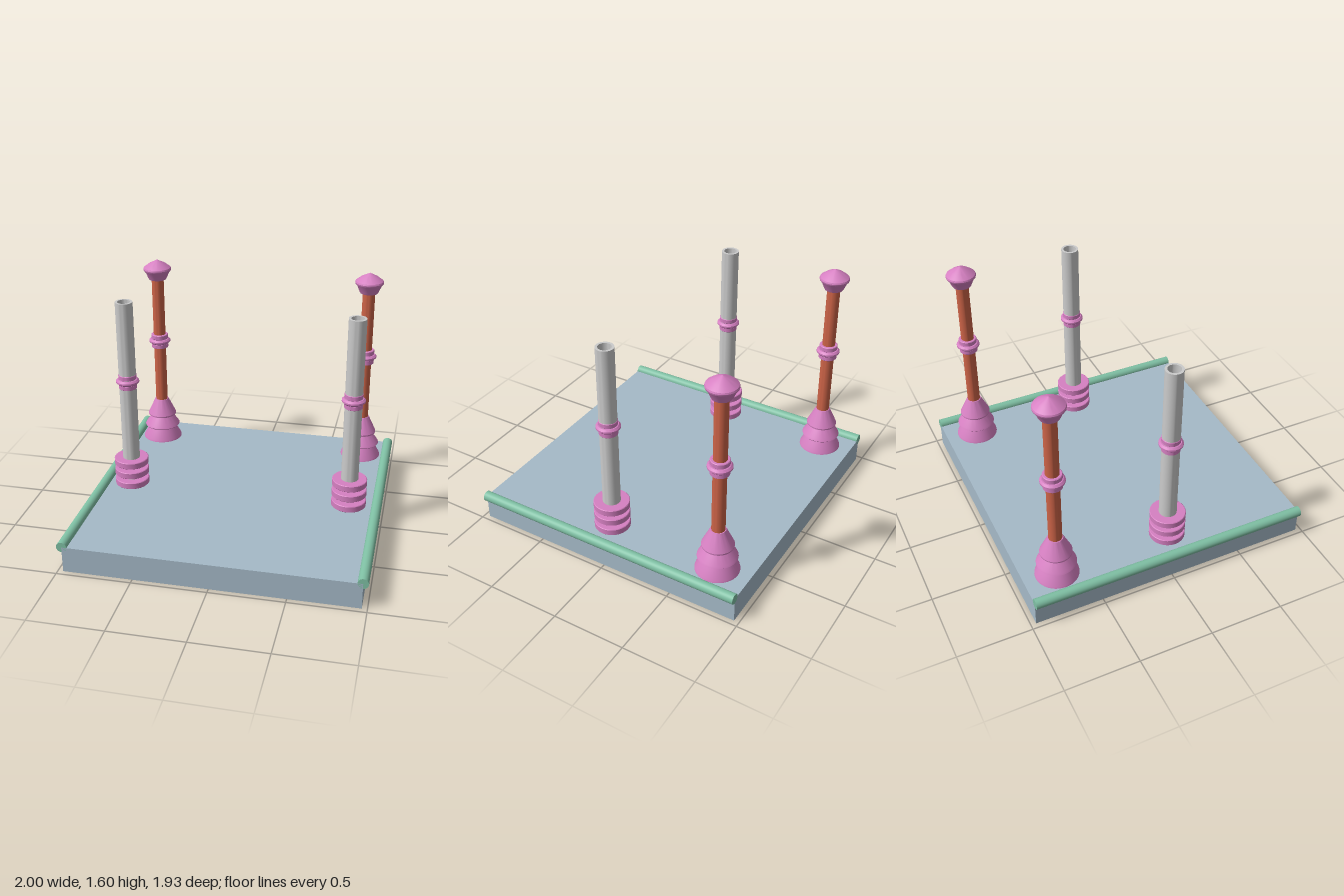
import * as THREE from 'three';
import { toCreasedNormals } from 'three/addons/utils/BufferGeometryUtils.js';

const mat = (color) => new THREE.MeshStandardMaterial({ color });
const slate = mat(0xa5bac8), green = mat(0x7fc0a4), pink = mat(0xd680c2);
const orange = mat(0xcc6347), grey = mat(0xcccccc);

// Turned part from [radius, height] pairs listed bottom to top on the outside
function turned(name, profile, material) {
  const points = profile.map(([r, y]) => new THREE.Vector2(r, y));
  const geometry = toCreasedNormals(new THREE.LatheGeometry(points, 40), 0.5);
  const mesh = new THREE.Mesh(geometry, material);
  mesh.name = name;
  return mesh;
}

// Solid disc with slightly softened rims
function disc(name, r, y0, y1, bevel = 0.004) {
  return turned(name, [
    [0, y0], [r - bevel, y0], [r, y0 + bevel],
    [r, y1 - bevel], [r - bevel, y1], [0, y1],
  ], pink);
}

// Three-ring collar halfway up a column
function collar(r) {
  const group = new THREE.Group();
  group.name = 'collar';
  group.add(
    disc('collarLowerRing', r, 0.92, 0.955),
    disc('collarMiddleRing', 0.079, 0.955, 0.99, 0.012),
    disc('collarUpperRing', r, 0.99, 1.025),
  );
  return group;
}

// Hollow pipe column standing in three stacked discs
function pipeColumn() {
  const group = new THREE.Group();
  group.name = 'pipeColumn';
  group.add(turned('pipe', [
    [0.059, 0.18], [0.059, 1.54], [0.043, 1.54], [0.043, 0.181], [0, 0.181],
  ], grey));
  // Discs and collar are pierced so the pipe stays open
  const ring = (name, r, y0, y1, b = 0.004) => turned(name, [
    [0.055, y0], [r - b, y0], [r, y0 + b], [r, y1 - b], [r - b, y1], [0.055, y1],
  ], pink);
  for (const y of [0.188, 0.268, 0.345]) group.add(ring('baseDisc', 0.119, y, y + 0.046));
  group.add(
    ring('collarLowerRing', 0.062, 0.92, 0.955),
    ring('collarMiddleRing', 0.079, 0.955, 0.99, 0.012),
    ring('collarUpperRing', 0.062, 0.99, 1.025),
  );
  return group;
}

// Slim post on three flared skirts with a pointed cap
function cappedPost() {
  const group = new THREE.Group();
  group.name = 'cappedPost';
  group.add(turned('shaft', [[0, 0.18], [0.044, 0.18], [0.044, 1.48], [0, 1.48]], orange));
  group.add(
    turned('lowerSkirt', [[0, 0.18], [0.145, 0.18], [0.142, 0.192], [0.09, 0.285], [0, 0.285]], pink),
    turned('middleSkirt', [[0, 0.275], [0.122, 0.275], [0.131, 0.284], [0.125, 0.296], [0.067, 0.375], [0, 0.375]], pink),
    turned('upperSkirt', [[0, 0.368], [0.104, 0.368], [0.105, 0.378], [0.05, 0.495], [0, 0.495]], pink),
  );
  group.add(collar(0.062));
  group.add(turned('cap', [
    [0, 1.452], [0.062, 1.452], [0.068, 1.462], [0.085, 1.503], [0.099, 1.52],
    [0.101, 1.53], [0.097, 1.54], [0.06, 1.568], [0, 1.598],
  ], pink));
  return group;
}

export function createModel() {
  const model = new THREE.Group();

  // Square platform
  const platform = new THREE.Mesh(new THREE.BoxGeometry(1.93, 0.18, 1.93), slate);
  platform.name = 'platform';
  platform.position.y = 0.09;
  model.add(platform);

  // Mirrored rails, pipe columns and capped posts
  for (const side of [-1, 1]) {
    const rail = new THREE.Mesh(new THREE.CylinderGeometry(0.035, 0.035, 1.93, 32), green);
    rail.name = side > 0 ? 'leftRail' : 'rightRail';
    rail.rotation.x = Math.PI / 2;
    rail.position.set(side * 0.965, 0.18, 0);

    const pipe = pipeColumn();
    pipe.position.set(side * 0.773, 0, 0.053);

    const post = cappedPost();
    post.position.set(side * 0.773, 0, -0.737);
    model.add(rail, pipe, post);
  }
  return model;
}
